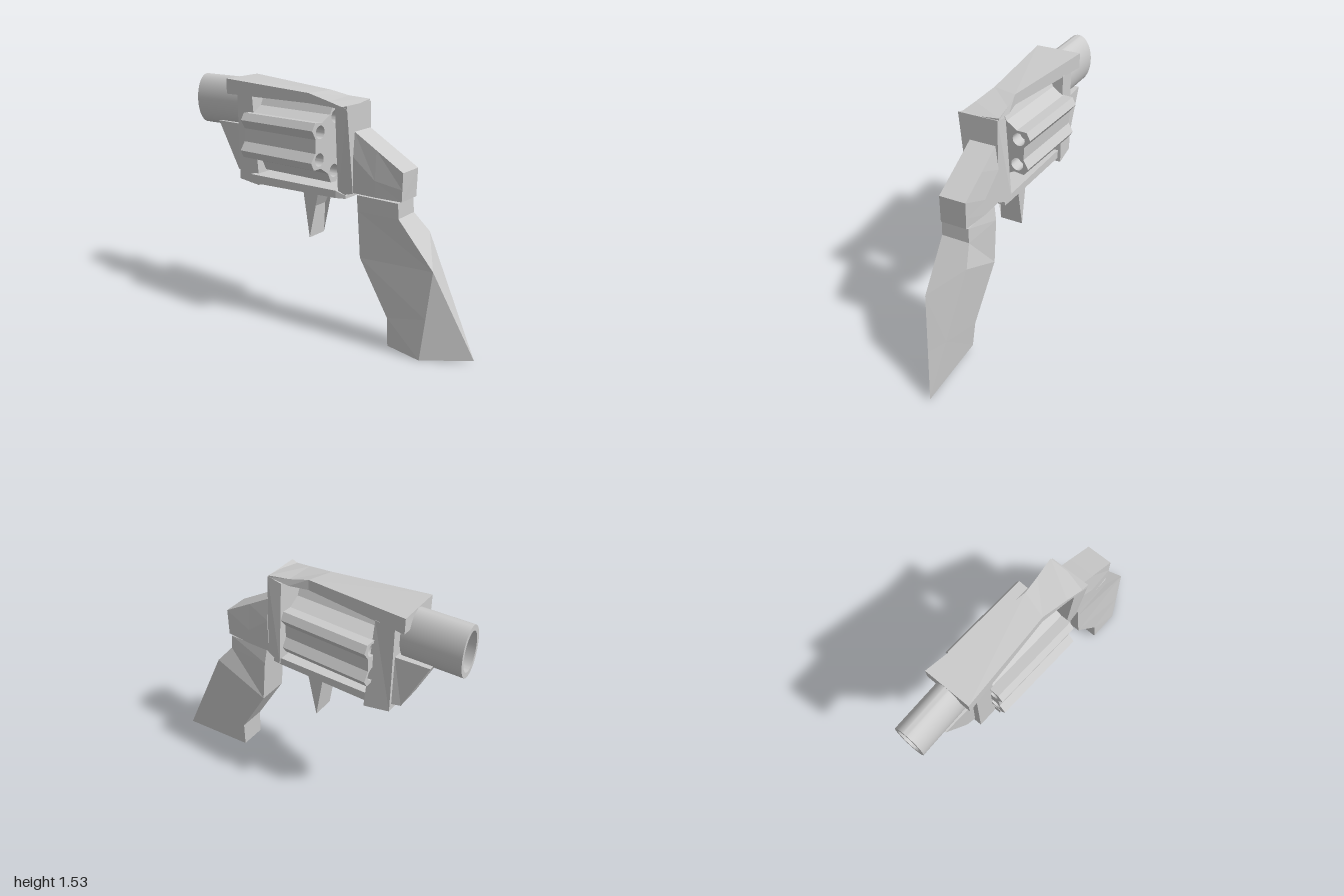
import * as THREE from 'three';
import { toCreasedNormals } from 'three/addons/utils/BufferGeometryUtils.js';

const flat = new THREE.MeshStandardMaterial({ color: 0xcccccc, flatShading: true });
const smooth = new THREE.MeshStandardMaterial({ color: 0xcccccc });

// Closed faceted solid from a list of equally sized rings of [x, y, z] points.
function loft(name, rings) {
  const tris = [];
  const n = rings[0].length;
  for (let i = 0; i < rings.length - 1; i++) {
    for (let j = 0; j < n; j++) {
      const k = (j + 1) % n;
      const a = rings[i][j], b = rings[i][k], c = rings[i + 1][k], d = rings[i + 1][j];
      tris.push([a, b, c], [a, c, d]);
    }
  }
  const first = rings[0], last = rings[rings.length - 1];
  for (let j = 1; j < n - 1; j++) {
    tris.push([first[0], first[j + 1], first[j]], [last[0], last[j], last[j + 1]]);
  }
  // Drop collapsed triangles and turn all faces outward
  const vec = (p) => new THREE.Vector3(...p);
  let volume = 0;
  const kept = tris.filter(([a, b, c]) => {
    volume += vec(a).dot(vec(b).cross(vec(c)));
    return vec(b).sub(vec(a)).cross(vec(c).sub(vec(a))).length() > 1e-8;
  });
  if (volume < 0) kept.forEach((t) => t.reverse());
  const geo = new THREE.BufferGeometry();
  geo.setAttribute('position', new THREE.Float32BufferAttribute(kept.flat(2), 3));
  geo.computeVertexNormals();
  const mesh = new THREE.Mesh(geo, flat);
  mesh.name = name;
  return mesh;
}

// Rectangular ring across the z axis.
const ringZ = (z, x0, x1, y0, y1) => [[x0, y0, z], [x1, y0, z], [x1, y1, z], [x0, y1, z]];
// Side profile of [z, y, x0, x1] points, given a width at each point.
const slab = (name, pts) => loft(name, [
  pts.map(([z, y, x0]) => [x0, y, z]),
  pts.map(([z, y, , x1]) => [x1, y, z]),
]);

function makeBarrel() {
  const group = new THREE.Group();
  group.name = 'barrel';
  const shape = new THREE.Shape().absellipse(0, 0, 0.095, 0.16, 0, Math.PI * 2);
  shape.holes.push(new THREE.Path().absellipse(0, 0, 0.074, 0.125, 0, Math.PI * 2, true));
  const tube = new THREE.ExtrudeGeometry(shape, { depth: 0.36, bevelEnabled: false, curveSegments: 32 });
  const wall = new THREE.Mesh(toCreasedNormals(tube, 0.6), smooth);
  wall.name = 'barrelTube';
  const floor = new THREE.Mesh(new THREE.CircleGeometry(1, 32), smooth);
  floor.name = 'boreEnd';
  floor.scale.set(0.074, 0.125, 1);
  floor.rotation.y = Math.PI;
  floor.position.z = 0.3;
  group.add(wall, floor);
  group.position.set(0.02, 1.365, -1);
  return group;
}

function makeDrum() {
  const group = new THREE.Group();
  group.name = 'drum';
  const outline = [], chambers = [];
  for (let i = 0; i < 6; i++) {
    const a = THREE.MathUtils.degToRad(27 + i * 60);
    // Ridge tip with a flute on each side
    for (const [da, r] of [[-0.3, 0.185], [-0.11, 0.235], [0.11, 0.235], [0.3, 0.185]]) {
      outline.push(new THREE.Vector2(Math.cos(a + da) * r, Math.sin(a + da) * r));
    }
    chambers.push([Math.cos(a) * 0.163, Math.sin(a) * 0.163]);
  }
  const shape = new THREE.Shape(outline);
  for (const [x, y] of chambers) {
    shape.holes.push(new THREE.Path().absarc(x, y, 0.04, 0, Math.PI * 2, true));
    const end = new THREE.Mesh(new THREE.CircleGeometry(0.04, 16),
      new THREE.MeshStandardMaterial({ color: 0xcccccc, side: THREE.DoubleSide }));
    end.name = 'chamberEnd';
    end.position.set(x, y, 0.2);
    group.add(end);
  }
  const geo = new THREE.ExtrudeGeometry(shape, { depth: 0.57, bevelEnabled: false, curveSegments: 16 });
  geo.translate(0, 0, -0.285);
  const body = new THREE.Mesh(toCreasedNormals(geo, 0.45), smooth);
  body.name = 'flutedBody';
  group.add(body);
  group.position.set(0, 1.19, -0.225);
  group.rotation.y = -0.05;
  return group;
}

export function createModel() {
  const model = new THREE.Group();
  model.name = 'revolver';

  // Frame around the drum
  model.add(loft('topStrap', [
    [[-0.16, 1.425, 0.24], [0.095, 1.45, 0.235], [0.095, 1.46, 0.235], [-0.16, 1.435, 0.24]],
    [[-0.13, 1.43, 0.1], [0.085, 1.43, 0.1], [0.077, 1.47, 0.1], [-0.13, 1.46, 0.1]],
    [[-0.1, 1.43, -0.07], [0.06, 1.43, -0.02], [0.06, 1.495, -0.02], [-0.1, 1.49, -0.07]],
    ringZ(-0.69, -0.13, 0.165, 1.435, 1.53),
  ]));
  model.add(slab('rearPost', [
    [0.245, 1.45, -0.16, 0.09], [0.15, 1.43, -0.14, 0.09],
    [0.145, 0.9, -0.1, 0.13], [0.25, 0.93, -0.1, 0.1],
  ]));
  model.add(slab('frontPost', [
    [-0.5, 1.44, -0.11, 0.14], [-0.62, 1.44, -0.11, 0.14],
    [-0.625, 0.89, -0.1, 0.15], [-0.465, 0.868, -0.1, 0.16],
  ]));
  model.add(loft('bottomStrap', [
    ringZ(0.2, -0.1, 0.115, 0.89, 0.91),
    ringZ(0.14, -0.12, 0.12, 0.89, 0.935),
    ringZ(-0.5, -0.14, 0.14, 0.89, 0.945),
  ]));

  // Barrel and the lug below it
  model.add(makeBarrel());
  model.add(slab('barrelLug', [
    [-0.62, 1.24, -0.07, 0.12], [-0.83, 1.24, -0.06, 0.11],
    [-0.68, 0.935, -0.05, 0.12], [-0.62, 0.93, -0.06, 0.13],
  ]));

  model.add(makeDrum());

  // Tapered blade trigger
  model.add(slab('trigger', [
    [-0.02, 0.9, -0.07, 0.08], [-0.14, 0.9, -0.07, 0.08],
    [-0.09, 0.585, -0.07, 0.08], [-0.08, 0.78, -0.07, 0.08],
  ]));

  // Sloping block behind the frame
  model.add(loft('rearBlock', [
    [[-0.1, 0.935, 0.25], [0.1, 0.935, 0.25], [0.1, 1.15, 0.25], [0.08, 1.295, 0.25], [-0.085, 1.295, 0.25], [-0.1, 1.15, 0.25]],
    [[-0.1, 0.932, 0.4], [0.095, 0.932, 0.4], [0.095, 1.03, 0.4], [0.079, 1.206, 0.4], [-0.087, 1.206, 0.4], [-0.1, 1.03, 0.4]],
    [[-0.09, 0.93, 0.575], [0.074, 0.93, 0.575], [0.075, 1.0, 0.577], [0.076, 1.1, 0.58], [-0.09, 1.1, 0.58], [-0.09, 1.0, 0.577]],
  ]));

  // Grip; the back is split by a slanted crease that runs to the heel tip
  model.add(loft('grip', [
    [[-0.095, 0.92, 0.555], [-0.095, 0.92, 0.555], [0.075, 0.92, 0.555], [0.085, 0.925, 0.275], [-0.095, 0.925, 0.275]],
    [[-0.095, 0.83, 0.56], [-0.095, 0.83, 0.56], [0.08, 0.83, 0.56], [0.1, 0.83, 0.283], [-0.096, 0.83, 0.283]],
    [[-0.08, 0.555, 0.785], [-0.08, 0.555, 0.785], [0.115, 0.72, 0.65], [0.1, 0.545, 0.305], [-0.1, 0.545, 0.305]],
    [[-0.096, 0.26, 0.756], [-0.005, 0.262, 0.9], [0.085, 0.33, 0.842], [0.075, 0.21, 0.505], [-0.105, 0.21, 0.505]],
    [[-0.11, 0.002, 0.73], [0.06, 0.01, 1], [0.06, 0.01, 1], [0.06, 0.035, 0.515], [-0.11, 0.035, 0.515]],
  ]));

  return model;
}
